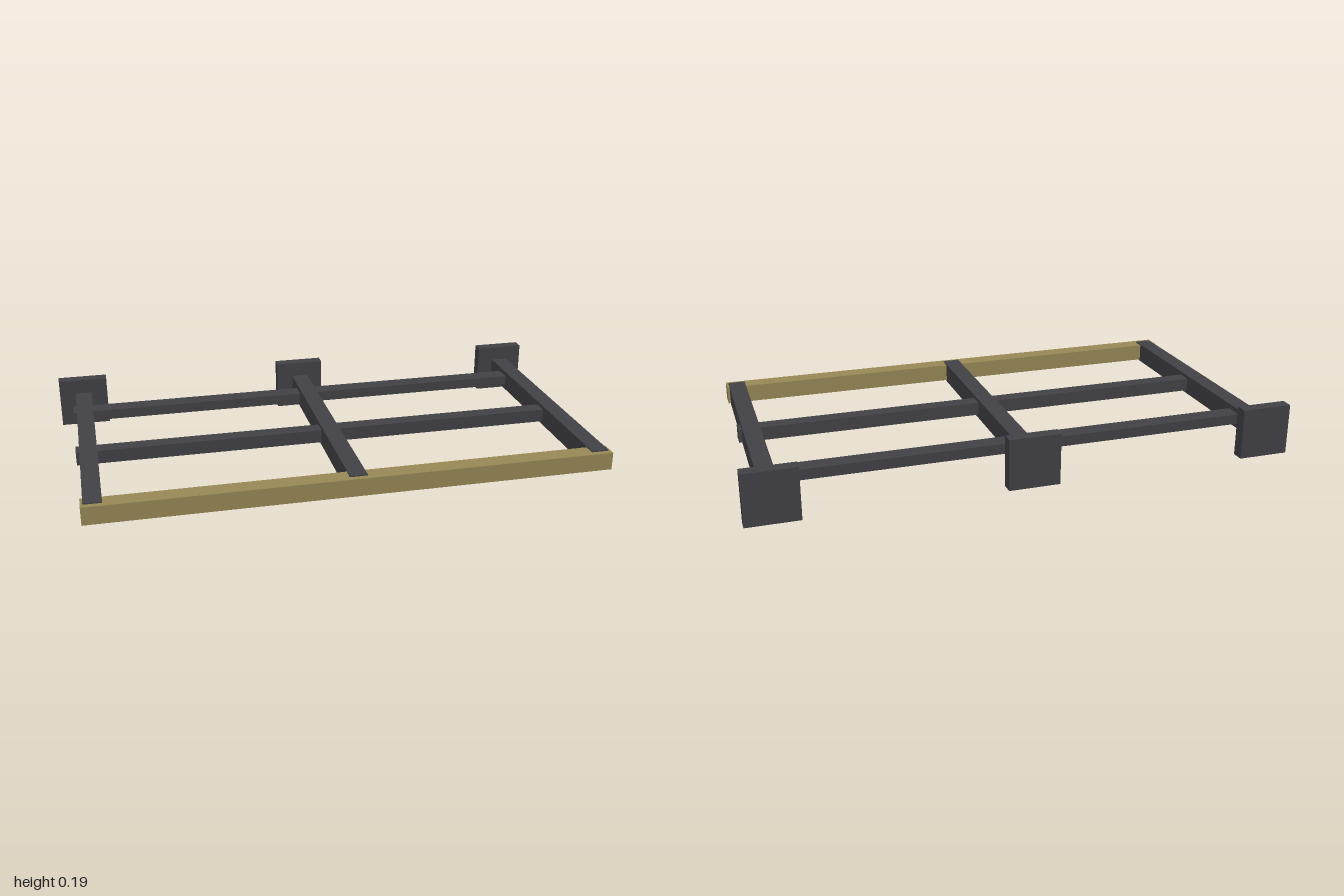
import * as THREE from 'three';

export function createModel() {
  const model = new THREE.Group();
  const darkSteel = new THREE.MeshStandardMaterial({ name: 'darkSteel', color: 0x424246 });
  const ochreWood = new THREE.MeshStandardMaterial({ name: 'ochreWood', color: 0x978856 });

  // Box given by its extents along each axis
  function box(name, material, [x0, x1], [y0, y1], [z0, z1]) {
    const mesh = new THREE.Mesh(new THREE.BoxGeometry(x1 - x0, y1 - y0, z1 - z0), material);
    mesh.position.set((x0 + x1) / 2, (y0 + y1) / 2, (z0 + z1) / 2);
    mesh.name = name;
    model.add(mesh);
  }

  // Three arms, each ending in a wall plate at the back
  for (const [side, x] of [['right', -0.905], ['middle', 0], ['left', 0.905]]) {
    box(side + 'Arm', darkSteel, [x - 0.032, x + 0.032], [0.058, 0.134], [-0.49, 0.513]);
    box(side + 'WallPlate', darkSteel, [x - 0.095, x + 0.095], [0, 0.19], [-0.534, -0.488]);
  }

  // Cross rails passing through the arms
  box('middleCrossRail', darkSteel, [-0.95, 0.95], [0.071, 0.121], [0.019, 0.076]);
  box('backCrossRail', darkSteel, [-0.95, 0.95], [0.077, 0.116], [-0.39, -0.324]);

  // Front rail
  box('frontRail', ochreWood, [-0.946, 0.946], [0.064, 0.13], [0.467, 0.534]);

  return model;
}
